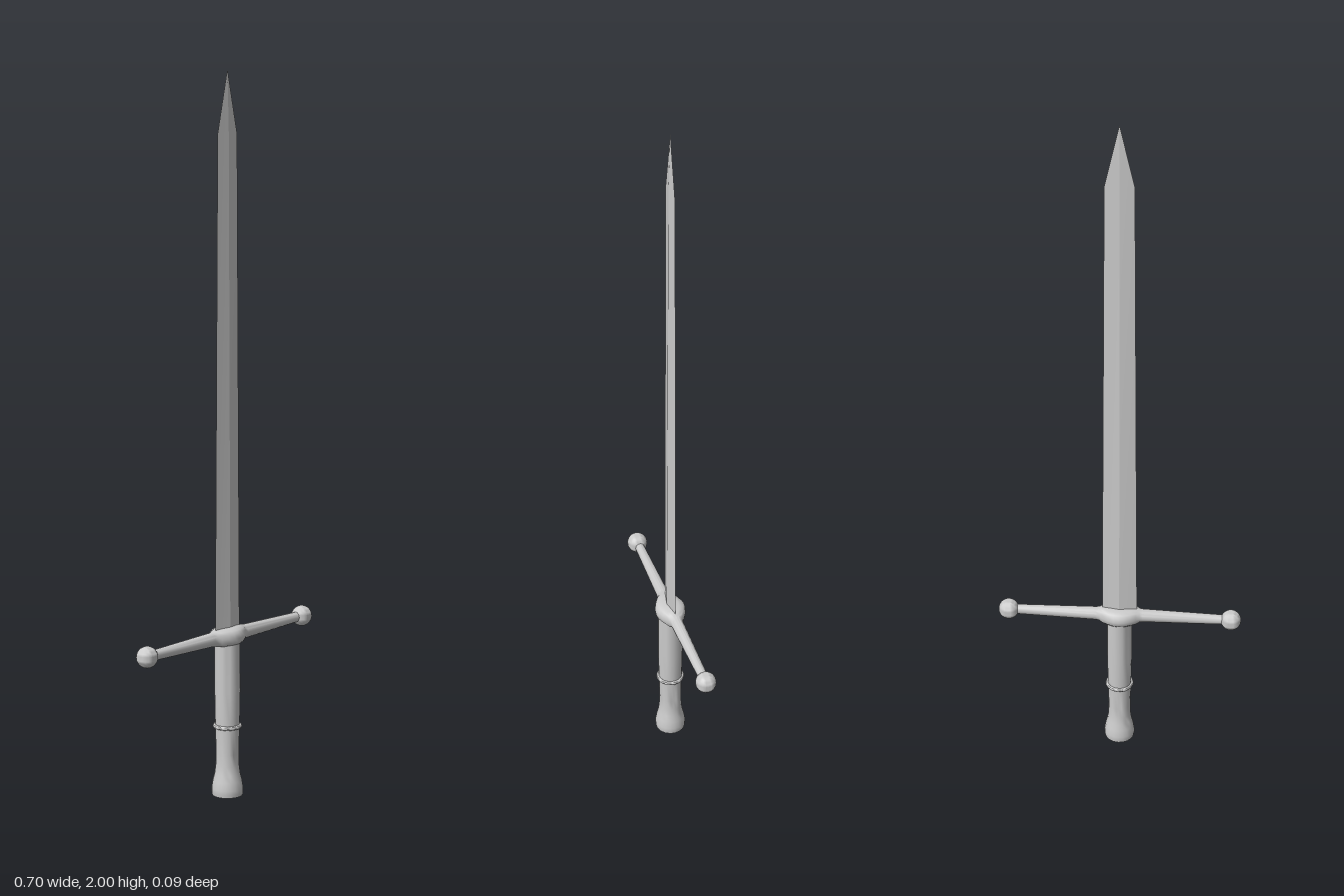
import * as THREE from 'three';
import { toCreasedNormals } from 'three/addons/utils/BufferGeometryUtils.js';

const material = new THREE.MeshStandardMaterial({ color: 0xcccccc });

function addPart(group, name, geometry, crease = 0.7) {
  const mesh = new THREE.Mesh(toCreasedNormals(geometry, crease), material);
  mesh.name = name;
  group.add(mesh);
  return mesh;
}

// Skin a list of equal-sized rings (counterclockwise seen from the last ring) and cap both ends.
function loft(rings) {
  const n = rings[0].length, last = (rings.length - 1) * n, index = [];
  for (let i = 0; i < rings.length - 1; i++) {
    for (let j = 0; j < n; j++) {
      const a = i * n + j, b = i * n + (j + 1) % n;
      index.push(a, b, b + n, a, b + n, a + n);
    }
  }
  for (let j = 1; j < n - 1; j++) {
    index.push(0, j + 1, j, last, last + j, last + j + 1);
  }
  const geometry = new THREE.BufferGeometry();
  geometry.setAttribute('position', new THREE.Float32BufferAttribute(rings.flat(2), 3));
  geometry.setIndex(index);
  return geometry;
}

export function createModel() {
  const sword = new THREE.Group();
  sword.name = 'sword';

  // Blade: tapering diamond section [y, half width, half thickness]
  const blade = [
    [0.45, 0.05, 0.011], [1.83, 0.039, 0.005], [2, 0.0004, 0.0003],
  ].map(([y, w, t]) => [[w, y, 0], [0, y, -t], [-w, y, 0], [0, y, t]]);
  addPart(sword, 'blade', loft(blade), 0.1);

  // Crossguard: round arms swelling into a wide block [x, half height, half depth]
  const half = [
    [0, 0.026, 0.044], [0.015, 0.0255, 0.042], [0.032, 0.0245, 0.035],
    [0.048, 0.023, 0.025], [0.058, 0.0215, 0.019], [0.068, 0.02, 0.0175], [0.31, 0.014, 0.013],
  ];
  const stations = [...half.slice(1).reverse().map(([x, h, d]) => [-x, h, d]), ...half];
  const sides = 16;
  const guard = stations.map(([x, h, d]) => {
    const power = Math.abs(x) < 0.05 ? 0.7 : 1; // squarer section at the middle
    const soft = (v) => Math.sign(v) * Math.abs(v) ** power;
    return Array.from({ length: sides }, (_, j) => {
      const a = (j / sides) * Math.PI * 2;
      return [x, 0.455 + h * soft(Math.cos(a)), d * soft(Math.sin(a))];
    });
  });
  addPart(sword, 'crossguard', loft(guard));

  // Ball finials at the ends of the guard
  for (const side of [-1, 1]) {
    const ball = addPart(sword, side > 0 ? 'leftFinial' : 'rightFinial', new THREE.SphereGeometry(0.0295, 20, 14));
    ball.position.set(side * 0.32, 0.455, 0);
  }

  // Grip with flared pommel, as one turned profile [radius, y]
  const profile = [
    [0, 0], [0.043, 0], [0.0445, 0.008], [0.0445, 0.02], [0.041, 0.042], [0.036, 0.062], [0.033, 0.085],
    [0.032, 0.12], [0.034, 0.2], [0.036, 0.3], [0.0355, 0.45], [0, 0.45],
  ].map(([r, y]) => new THREE.Vector2(r, y));
  addPart(sword, 'grip', new THREE.LatheGeometry(profile, 20));

  // Collar ring round the grip
  const collar = addPart(sword, 'gripCollar', new THREE.TorusGeometry(0.035, 0.006, 8, 24), 1);
  collar.rotation.x = Math.PI / 2;
  collar.position.y = 0.198;

  return sword;
}
